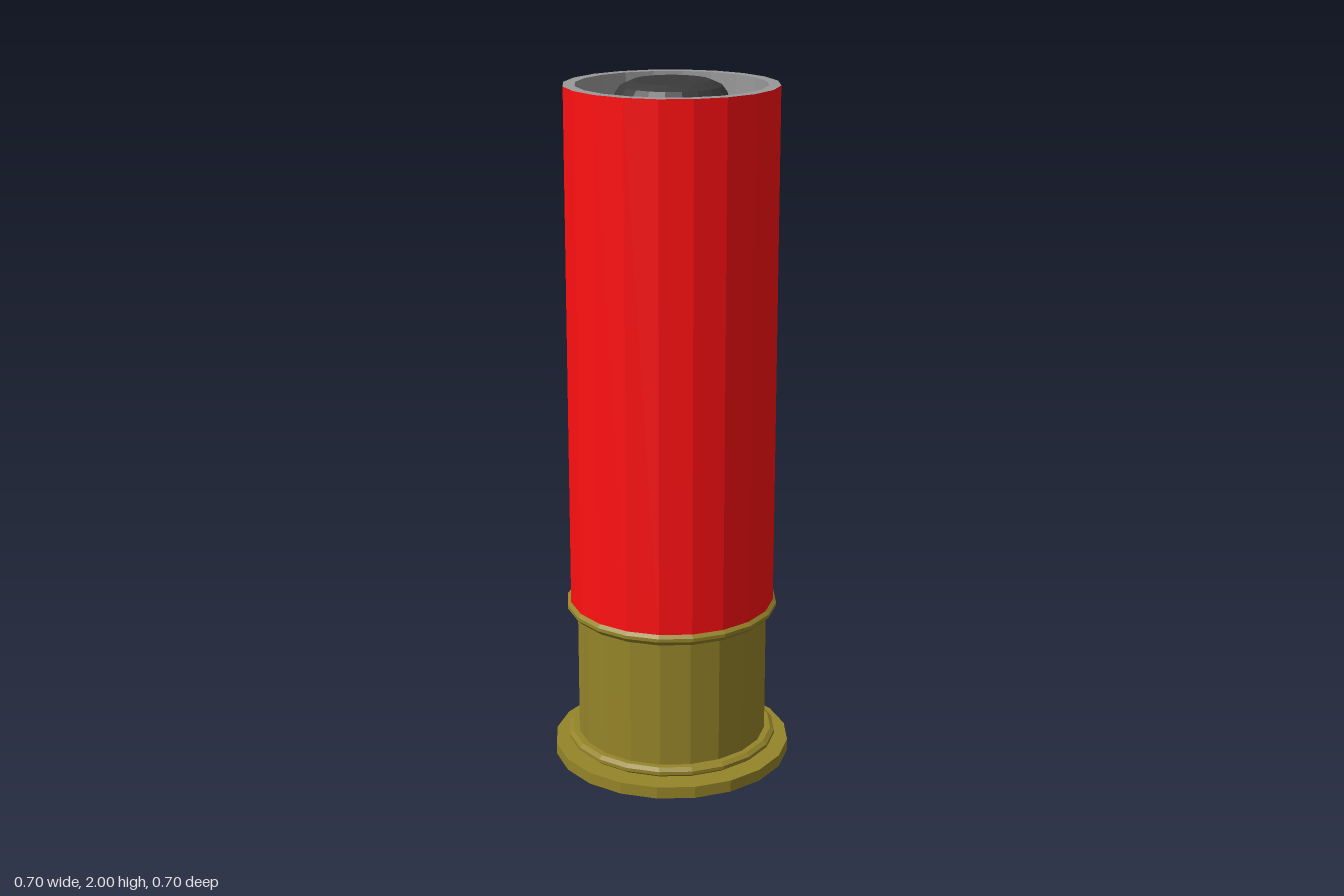
import * as THREE from 'three';

const SIDES = 20;
const material = (color) => new THREE.MeshStandardMaterial({ color, flatShading: true });

// Turned part: [radius, height] pairs, outside surface running upwards.
function turned(name, mat, profile) {
  const points = profile.map(([r, y]) => new THREE.Vector2(r, y));
  const mesh = new THREE.Mesh(new THREE.LatheGeometry(points, SIDES), mat);
  mesh.name = name;
  return mesh;
}

export function createModel() {
  const model = new THREE.Group();
  model.name = 'shell';
  const brass = material(0x958429);
  const red = material(0xff1012);
  const grey = material(0x999999);
  const dark = material(0x3a3a3a);

  model.add(
    // Flanged base disc
    turned('baseFlange', brass, [[0, 0], [0.35, 0], [0.35, 0.035], [0.28, 0.035]]),
    // Brass cup with a bead at each end
    turned('brassCup', brass, [
      [0.28, 0.035], [0.295, 0.042], [0.31, 0.053], [0.31, 0.063], [0.298, 0.072], [0.28, 0.072],
      [0.28, 0.45], [0.295, 0.453], [0.31, 0.468], [0.31, 0.478], [0.3, 0.487],
    ]),
    // Red outer tube
    turned('tubeWall', red, [[0.3, 0.48], [0.3, 1.99]]),
    // Rim and hollow interior
    turned('tubeLining', grey, [[0.3, 1.99], [0.267, 1.99], [0.267, 0.48], [0, 0.48]]),
    // Inner slug: brass column with a dark domed tip
    turned('slugColumn', brass, [[0.16, 0.48], [0.16, 1.94]]),
    turned('slugTip', dark, [[0.16, 1.94], [0.155, 1.966], [0.14, 1.986], [0.108, 2], [0, 2]]),
  );
  return model;
}
